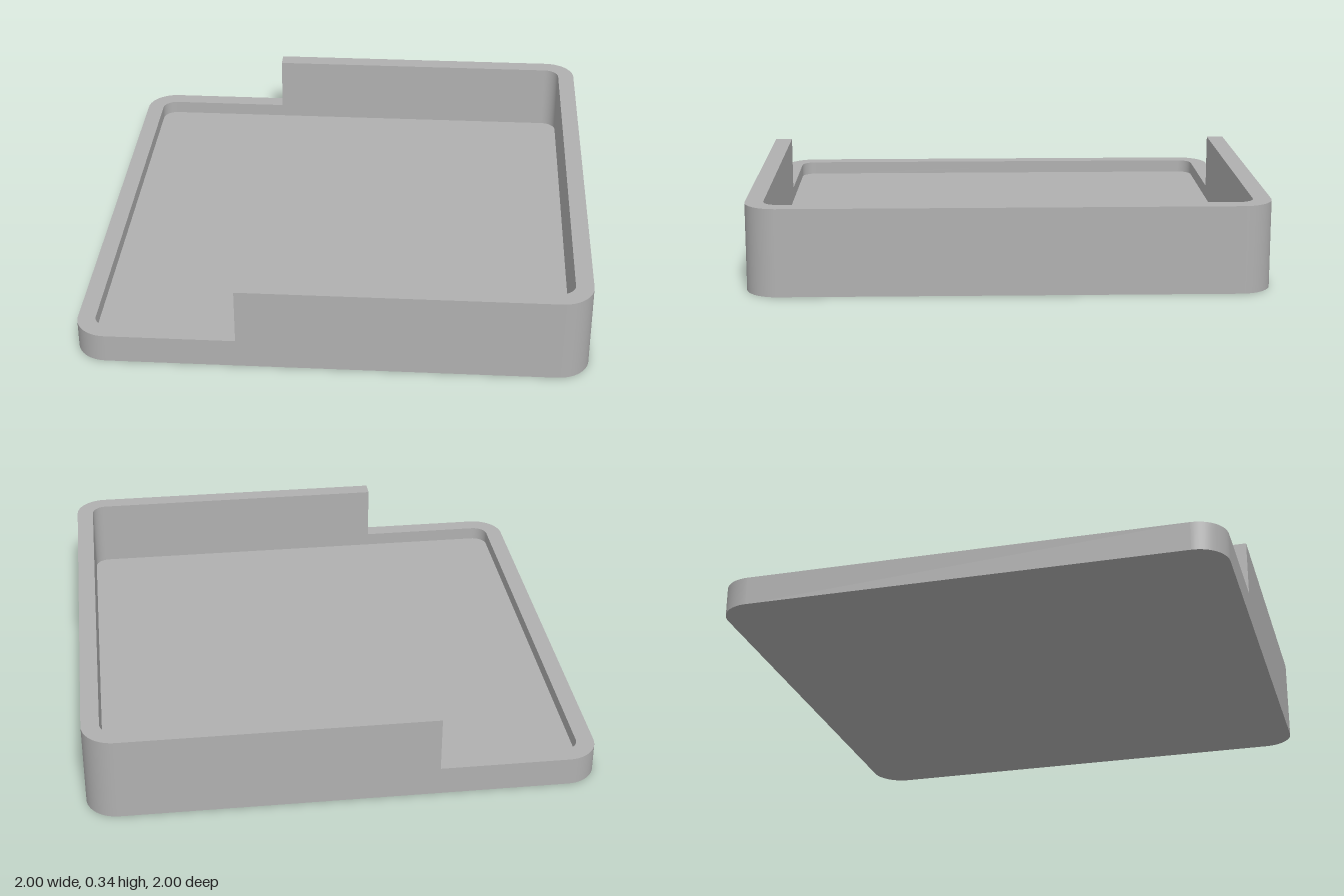
import * as THREE from 'three';

const OUTER = { half: 1, radius: 0.125 };
const INNER = { half: 0.93, radius: 0.06 };
const STEP_X = -0.365; // where the wall drops to the low side
const FLOOR_Y = 0.06, LOW_Y = 0.115, HIGH_Y = 0.34;

// Half of a rounded square, running counter-clockwise from one step to the other.
// side = 1 goes round the +x end, side = -1 round the -x end.
function halfOutline(side, { half, radius }) {
  const c = half - radius, steps = 12;
  const points = [new THREE.Vector2(STEP_X, -side * half)];
  for (const [corner, start] of [[-1, -Math.PI / 2], [1, 0]]) {
    for (let i = 0; i <= steps; i++) {
      const a = start + (i / steps) * Math.PI / 2;
      points.push(new THREE.Vector2(
        side * (c + radius * Math.cos(a)),
        side * (corner * c + radius * Math.sin(a))));
    }
  }
  points.push(new THREE.Vector2(STEP_X, side * half));
  return points;
}

// Flat horizontal face
function flatFace(points, y) {
  return new THREE.ShapeGeometry(new THREE.Shape(points)).rotateX(-Math.PI / 2).translate(0, y, 0);
}

// Upright strip along a path, with smooth corners
function wallStrip(points, y0, y1) {
  const positions = [], index = [];
  points.forEach((p, i) => {
    positions.push(p.x, y0, -p.y, p.x, y1, -p.y);
    if (i < points.length - 1) {
      const a = 2 * i;
      index.push(a, a + 2, a + 3, a, a + 3, a + 1);
    }
  });
  const geometry = new THREE.BufferGeometry();
  geometry.setAttribute('position', new THREE.Float32BufferAttribute(positions, 3));
  geometry.setIndex(index);
  geometry.computeVertexNormals();
  return geometry;
}

export function createModel() {
  const group = new THREE.Group();
  group.name = 'tray';
  const grey = new THREE.MeshStandardMaterial({ color: 0xb0b0b0 });
  grey.name = 'grey';
  const add = (name, geometry) => {
    const mesh = new THREE.Mesh(geometry, grey);
    mesh.name = name;
    group.add(mesh);
  };

  // Underside and inner floor
  const whole = (size) => [...halfOutline(1, size), ...halfOutline(-1, size)];
  add('underside', flatFace(whole(OUTER), 0).rotateX(Math.PI));
  add('floor', flatFace(whole(INNER), FLOOR_Y));

  // Tall wall round the +x end, low wall round the -x end
  for (const [label, side, top] of [['tall', 1, HIGH_Y], ['low', -1, LOW_Y]]) {
    const outer = halfOutline(side, OUTER);
    const inner = halfOutline(side, INNER).reverse();
    add(label + 'OuterWall', wallStrip(outer, 0, top));
    add(label + 'InnerWall', wallStrip(inner, FLOOR_Y, top));
    add(label + 'Rim', flatFace([...outer, ...inner], top));
  }

  // End faces of the tall wall at the step
  for (const side of [1, -1]) {
    add(side > 0 ? 'frontStepFace' : 'backStepFace',
      new THREE.PlaneGeometry(OUTER.half - INNER.half, HIGH_Y - LOW_Y)
        .rotateY(-Math.PI / 2)
        .translate(STEP_X, (HIGH_Y + LOW_Y) / 2, side * (OUTER.half + INNER.half) / 2));
  }
  return group;
}
